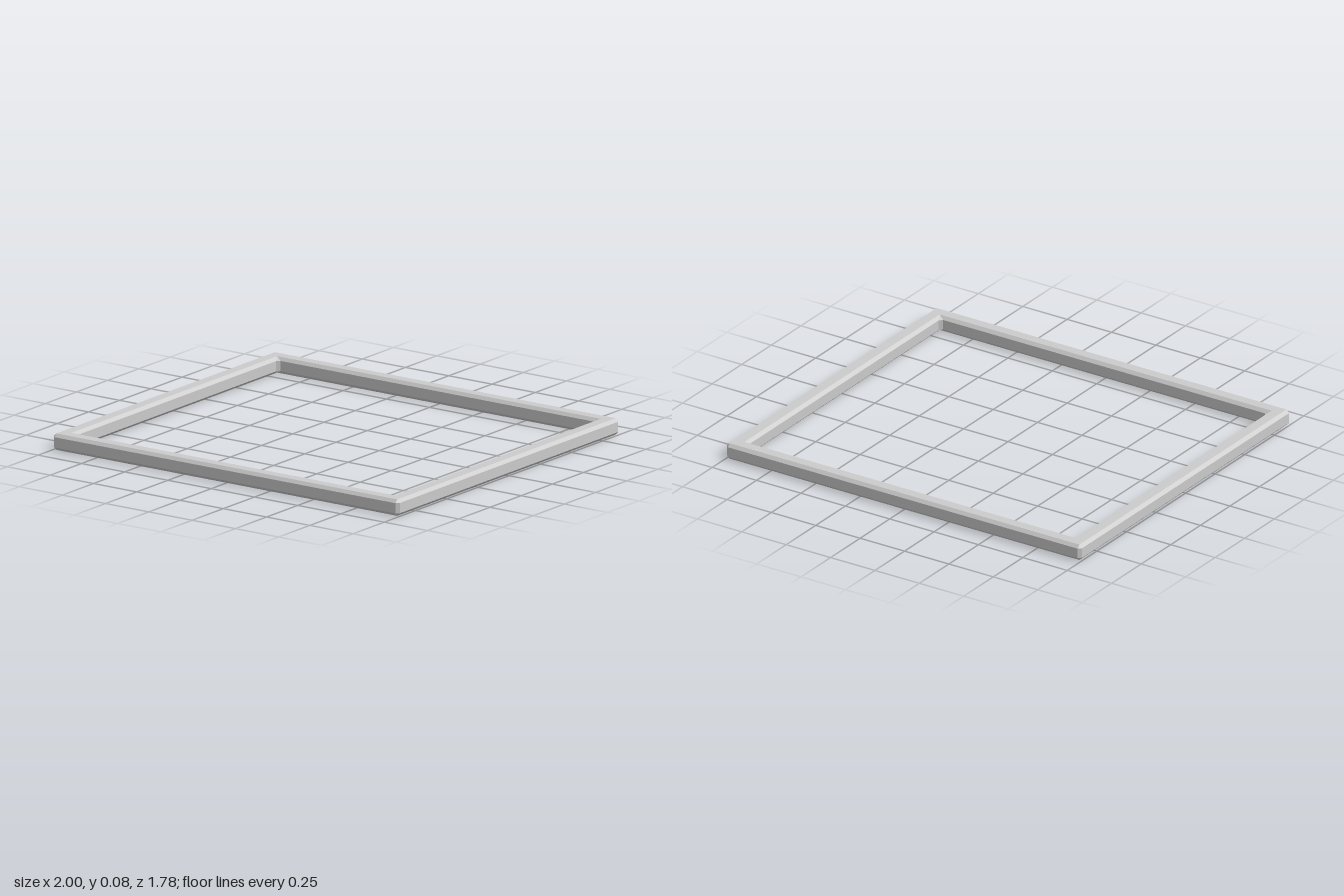
import * as THREE from 'three';

const HALF_X = 1, HALF_Z = 0.89, HEIGHT = 0.08, WIDTH = 0.08, BEVEL = 0.015;

// Rectangular loop, inset from the outer edge, with its corners cut off
function ring(inset, y, cut) {
  const x = HALF_X - inset, z = HALF_Z - inset;
  return [
    [x - cut, z], [x, z - cut], [x, -z + cut], [x - cut, -z],
    [-x + cut, -z], [-x, -z + cut], [-x, z - cut], [-x + cut, z],
  ].map(([px, pz]) => new THREE.Vector3(px, y, pz));
}

// Bevelled cross-section carried around the rectangle
function frameGeometry() {
  const b = BEVEL, w = WIDTH, h = HEIGHT;
  const rings = [
    [0, b, b], [0, h - b, b], [b, h, 0], [w - b, h, 0],
    [w, h - b, b], [w, b, b], [w - b, 0, 0], [b, 0, 0],
  ].map(section => ring(...section));

  const positions = [];
  const triangle = (p, q, r) => {
    if (p.equals(q) || q.equals(r) || r.equals(p)) return;
    for (const v of [p, q, r]) positions.push(v.x, v.y, v.z);
  };
  rings.forEach((lower, i) => {
    const upper = rings[(i + 1) % rings.length];
    for (let k = 0; k < lower.length; k++) {
      const n = (k + 1) % lower.length;
      triangle(lower[k], lower[n], upper[n]);
      triangle(lower[k], upper[n], upper[k]);
    }
  });

  const geometry = new THREE.BufferGeometry();
  geometry.setAttribute('position', new THREE.Float32BufferAttribute(positions, 3));
  geometry.computeVertexNormals();
  return geometry;
}

export function createModel() {
  const group = new THREE.Group();
  group.name = 'rectangularFrame';
  const material = new THREE.MeshStandardMaterial({ color: 0xcccccc, flatShading: true });
  const frame = new THREE.Mesh(frameGeometry(), material);
  frame.name = 'bevelledFrame';
  group.add(frame);
  return group;
}
